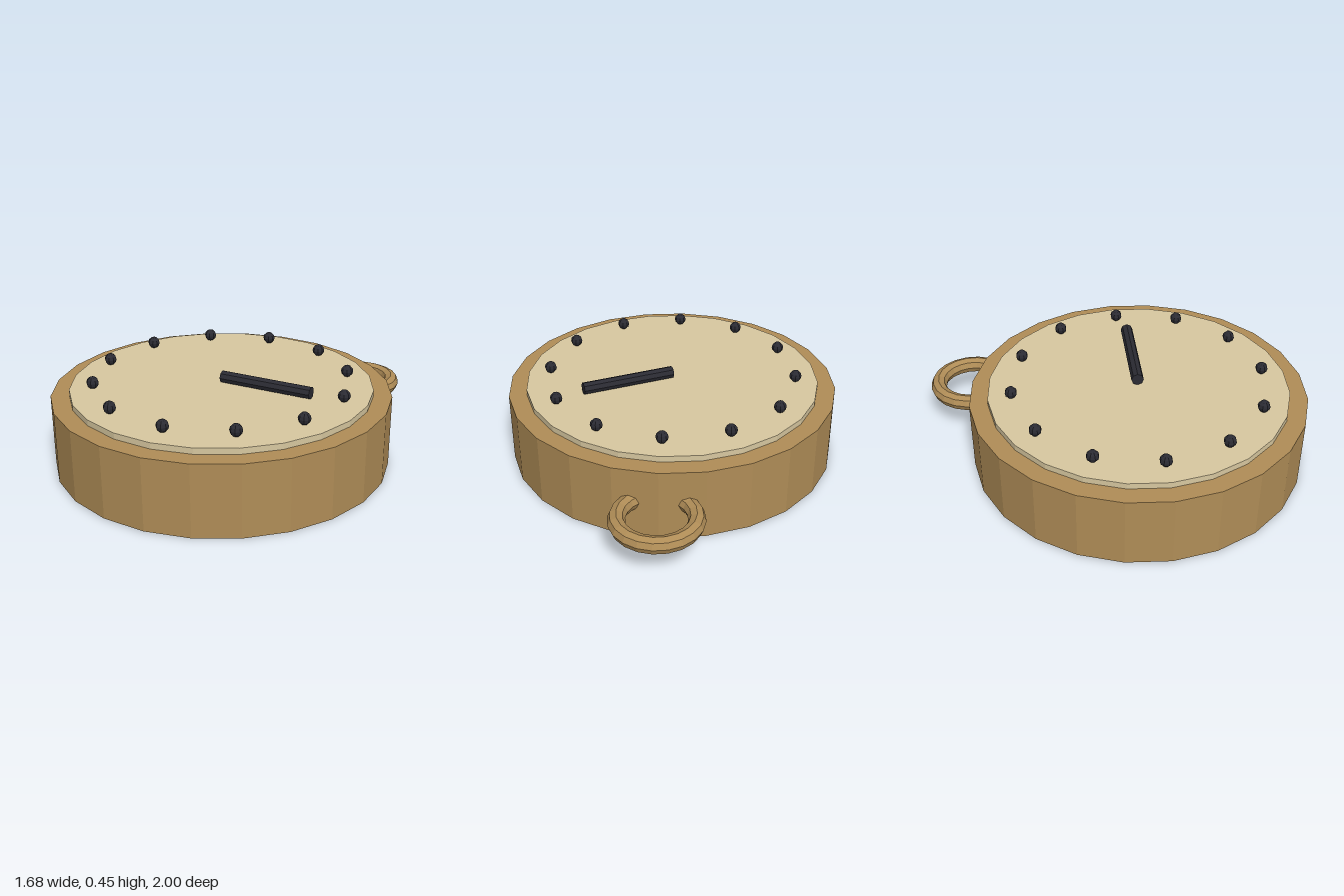
import * as THREE from 'three';

const CENTRE_Z = 0.159;

function material(name, color) {
  const m = new THREE.MeshStandardMaterial({ color, flatShading: true });
  m.name = name;
  return m;
}

export function createModel() {
  const model = new THREE.Group();
  model.name = 'pocketDial';
  const brass = material('brass', 0xb08d57);
  const cream = material('cream', 0xd8c8a0);
  const dark = material('darkMetal', 0x2b2b33);

  function add(name, geometry, mat, x, y, z) {
    const mesh = new THREE.Mesh(geometry, mat);
    mesh.name = name;
    mesh.position.set(x, y, z);
    model.add(mesh);
    return mesh;
  }

  // Case and raised dial
  add('case', new THREE.CylinderGeometry(0.841, 0.841, 0.36, 24), brass, 0, 0.18, CENTRE_Z);
  add('dial', new THREE.CylinderGeometry(0.75, 0.75, 0.04, 24), cream, 0, 0.37, CENTRE_Z);

  // Hanging ring, lying flat and sunk into the back of the case
  const ring = add('hangingRing', new THREE.TorusGeometry(0.182, 0.041, 8, 20), brass, 0, 0.18, -0.777);
  ring.rotation.x = Math.PI / 2;

  // Twelve hour markers
  const bead = new THREE.SphereGeometry(0.031, 8, 6);
  for (let i = 0; i < 12; i++) {
    const a = (i / 12) * Math.PI * 2;
    add('hourMarker' + (i + 1), bead, dark, 0.634 * Math.sin(a), 0.422, CENTRE_Z + 0.634 * Math.cos(a));
  }

  // Hand, running out from the middle of the dial
  const handGeometry = new THREE.CylinderGeometry(0.031, 0.031, 0.478, 8);
  handGeometry.rotateZ(-Math.PI / 2);
  const hand = add('hand', handGeometry, dark, 0.215, 0.422, CENTRE_Z - 0.109);
  hand.rotation.y = THREE.MathUtils.degToRad(26);

  return model;
}
